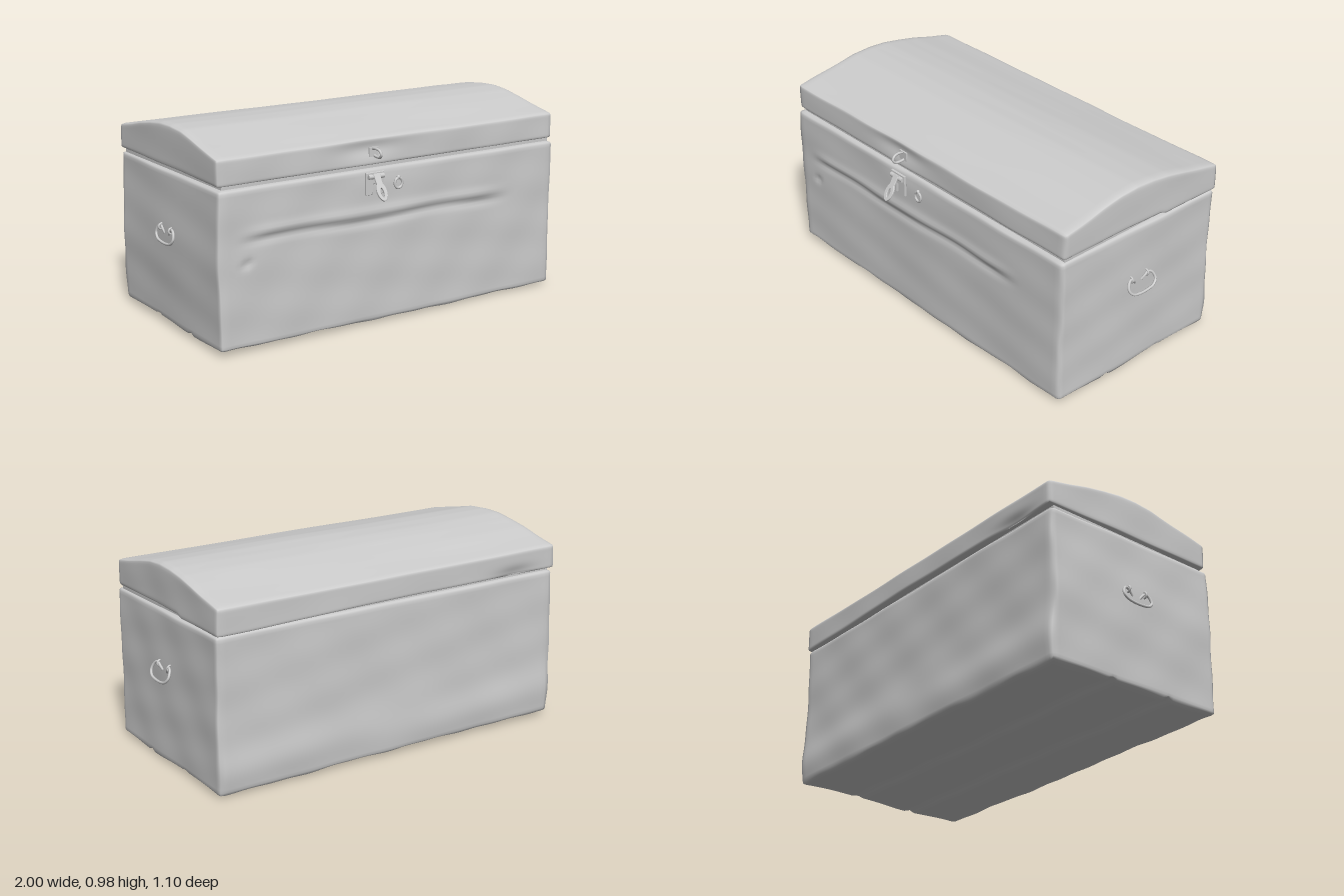
import * as THREE from 'three';
import { mergeVertices } from 'three/addons/utils/BufferGeometryUtils.js';

const bump = (v, centre, width) => Math.exp(-(((v - centre) / width) ** 2));
const step = THREE.MathUtils.smoothstep;

// Gentle irregularity of old, hand-worked boards
const wobble = (a, b) =>
  0.0018 * Math.sin(a * 9 + b * 4) + 0.0014 * Math.sin(a * 17 - b * 13 + 1.3) + 0.001 * Math.sin(b * 29 + a * 5);

// Block with rounded edges, divided finely enough to be reshaped by a rule
function roundedBlock(min, max, radius, segments, rule) {
  const size = max.clone().sub(min);
  const mid = max.clone().add(min).multiplyScalar(0.5);
  let geo = new THREE.BoxGeometry(size.x, size.y, size.z, ...segments);
  geo.deleteAttribute('uv');
  geo.deleteAttribute('normal');
  geo = mergeVertices(geo, 1e-5);
  const half = size.clone().multiplyScalar(0.5);
  const inner = half.clone().subScalar(radius);
  const pos = geo.attributes.position;
  const p = new THREE.Vector3();
  const core = new THREE.Vector3();
  for (let i = 0; i < pos.count; i++) {
    p.fromBufferAttribute(pos, i);
    const face = p.clone().divide(half);
    core.copy(p).clamp(inner.clone().negate(), inner);
    p.sub(core);
    if (p.lengthSq() > 0) p.setLength(radius).add(core);
    else p.copy(core);
    p.add(mid);
    rule(p, face);
    // the whole chest has settled slightly out of square
    p.z -= 0.0155 * p.x;
    p.y -= 0.007 * p.x;
    pos.setXYZ(i, p.x, p.y, p.z);
  }
  geo.computeVertexNormals();
  return geo;
}

// Height of the lid's arch at depth z, from a few measured points
const arch = [[-0.54, 0.882], [-0.4, 0.912], [-0.3, 0.937], [-0.2, 0.957], [-0.1, 0.97],
  [0, 0.974], [0.1, 0.967], [0.2, 0.947], [0.3, 0.925], [0.45, 0.893]];
function archHeight(z) {
  let i = 0;
  while (i < arch.length - 2 && z > arch[i + 1][0]) i++;
  const [z0, y0] = arch[i];
  const [z1, y1] = arch[i + 1];
  return y0 + ((y1 - y0) * (z - z0)) / (z1 - z0);
}

export function createModel() {
  const group = new THREE.Group();
  const material = new THREE.MeshStandardMaterial({ color: 0xcccccc });
  const add = (name, geo, parent = group) => {
    const mesh = new THREE.Mesh(geo, material);
    mesh.name = name;
    parent.add(mesh);
    return mesh;
  };
  const V = (x, y, z) => new THREE.Vector3(x, y, z);
  const tube = (points, radius, closed = false) => new THREE.TubeGeometry(
    new THREE.CatmullRomCurve3(points.map((q) => V(...q)), closed), 40, radius, 8, closed);

  // Body: worn boards, a dented crease along the front and plank seams underneath
  add('body', roundedBlock(V(-0.965, 0.018, -0.517), V(0.945, 0.755, 0.452), 0.016, [80, 50, 64], (p, f) => {
    const lower = step(0.75 - p.y, 0, 0.15);
    if (Math.abs(f.x) > 0.99) p.x += Math.sign(f.x) * wobble(p.z, p.y) - (f.x < 0 ? 0.01 * bump(p.y, 0.4, 0.2) : 0);
    if (f.z > 0.99) {
      const along = step(p.x, -0.9, -0.7) * (1 - step(p.x, 0.45, 0.7));
      p.z += wobble(p.x, p.y) - 0.01 * along * bump(p.y, 0.515 + 0.008 * Math.sin(p.x * 8), 0.02)
        + 0.008 * along * bump(p.y, 0.55, 0.025) - 0.008 * bump(p.x, -0.1, 0.15) * bump(p.y, 0.75, 0.05);
      p.z -= 0.012 * bump(p.x, -0.83, 0.02) * bump(p.y, 0.41, 0.02);
    }
    if (f.z < -0.99) p.z += wobble(p.x + 2, p.y) - 0.012 * bump(p.y, 0.13, 0.1);
    if (f.y < -0.99) {
      p.y += 1.5 * wobble(p.z, p.x) + 0.014 * (bump(p.z, 0.15, 0.016) + bump(p.z, -0.18, 0.016));
      p.y -= 0.004 * lower * bump(p.z, 0.05, 0.12);
    }
  }));

  // Recessed strip closing the gap below the lid
  const core = add('lidSeam', new THREE.BoxGeometry(1.87, 0.06, 0.92));
  core.position.set(-0.01, 0.762, -0.035);
  core.rotation.set(0, 0.0155, -0.007);

  // Arched lid: the seam closes towards the back of one end
  add('lid', roundedBlock(V(-0.965, 0.77, -0.53), V(0.945, 0.89, 0.44), 0.012, [80, 16, 64], (p, f) => {
    const t = (p.y - 0.77) / 0.12;
    p.y = 0.77 + t * (archHeight(p.z) - 0.77);
    p.y -= (1 - t) * 0.014 * (1 - step(p.z, -0.2, -0.15)) * step(p.x, 0, 0.9);
    if (f.y > 0.99) p.y += 0.6 * wobble(p.x * 0.4, p.z);
    if (Math.abs(f.x) > 0.99) p.x += Math.sign(f.x) * wobble(p.z, p.y) * 0.8;
    if (f.z > 0.99) p.z += wobble(p.x, p.y) - 0.012 * bump(p.x, -0.16, 0.16) * bump(p.y, 0.85, 0.04);
    // chipped lip at the back corner
    if (f.z < -0.99) p.z += 0.6 * wobble(p.x, p.y) + 0.016 * bump(p.x, -0.72, 0.12) * bump(p.y, 0.775, 0.035);
  }));

  // Drop handles hanging from a staple at each end
  for (const [name, side, wall, z0] of [['leftHandle', 1, 0.943, -0.045], ['rightHandle', -1, -0.972, -0.02]]) {
    const handle = new THREE.Group();
    handle.name = name;
    handle.position.set(wall, 0, z0);
    group.add(handle);
    const reach = side > 0 ? 1 : 0.5;
    const half = [[0.006, 0.462, 0.022], [0.012, 0.478, 0.035], [0.014, 0.494, 0.055], [0.02, 0.486, 0.074],
      [0.034, 0.455, 0.085], [0.043, 0.432, 0.066], [0.045, 0.423, 0.03]];
    const path = [...half, ...half.slice().reverse().map(([x, y, z]) => [x, y, -z])];
    add('handleBail', tube(path.map(([x, y, z]) => [x * side * reach, y, z]), 0.0065), handle);
    for (const s of [-1, 1]) {
      const staple = add('handleStaple', new THREE.TorusGeometry(0.014, 0.005, 8, 20), handle);
      staple.position.set(side * 0.006, 0.488, s * 0.05);
    }
  }

  // Staple on the lid
  add('lidStaple', tube([[-0.145, 0.845, 0.425], [-0.145, 0.852, 0.465], [-0.142, 0.846, 0.492],
    [-0.14, 0.83, 0.501], [-0.138, 0.815, 0.49], [-0.136, 0.812, 0.46], [-0.136, 0.818, 0.425]], 0.0065));
  const lidPlate = add('lidStaplePlate', new THREE.BoxGeometry(0.05, 0.045, 0.008));
  lidPlate.position.set(-0.14, 0.833, 0.438);

  // Hasp: pierced plate, hinge knuckle and tongue swung outward
  const hasp = new THREE.Group();
  hasp.name = 'hasp';
  hasp.position.set(-0.15, 0.69, 0.459);
  group.add(hasp);
  const plate = new THREE.Shape([[-0.048, -0.05], [-0.015, -0.05], [-0.012, 0], [0.012, 0], [0.015, -0.05],
    [0.048, -0.05], [0.048, 0.052], [-0.048, 0.052]].map((q) => new THREE.Vector2(...q)));
  add('haspPlate', new THREE.ExtrudeGeometry(plate, { depth: 0.008, bevelSize: 0.002, bevelThickness: 0.002, bevelSegments: 1 }), hasp);
  const knuckle = add('haspKnuckle', new THREE.CylinderGeometry(0.012, 0.012, 0.085, 12), hasp);
  knuckle.rotation.z = Math.PI / 2;
  knuckle.position.set(0, 0.035, 0.014);
  const outline = new THREE.Shape();
  outline.moveTo(-0.016, 0);
  outline.lineTo(-0.014, -0.05);
  outline.bezierCurveTo(-0.035, -0.075, -0.025, -0.13, 0, -0.132);
  outline.bezierCurveTo(0.025, -0.13, 0.035, -0.075, 0.014, -0.05);
  outline.lineTo(0.016, 0);
  const slot = new THREE.Path();
  slot.absellipse(0, -0.093, 0.011, 0.025, 0, Math.PI * 2);
  outline.holes.push(slot);
  const tongue = add('haspTongue', new THREE.ExtrudeGeometry(outline, {
    depth: 0.006, bevelSize: 0.002, bevelThickness: 0.002, bevelSegments: 1, curveSegments: 10 }), hasp);
  tongue.position.set(0, 0.045, 0.015);
  tongue.rotation.x = -0.55;

  // Small ring beside the hasp, with its pin
  const ring = add('keyRing', new THREE.TorusGeometry(0.021, 0.006, 8, 24));
  ring.position.set(-0.012, 0.672, 0.459);
  ring.scale.y = 1.15;
  const pin = add('keyRingPin', new THREE.SphereGeometry(0.009, 12, 8));
  pin.position.set(-0.012, 0.7, 0.458);

  return group;
}
